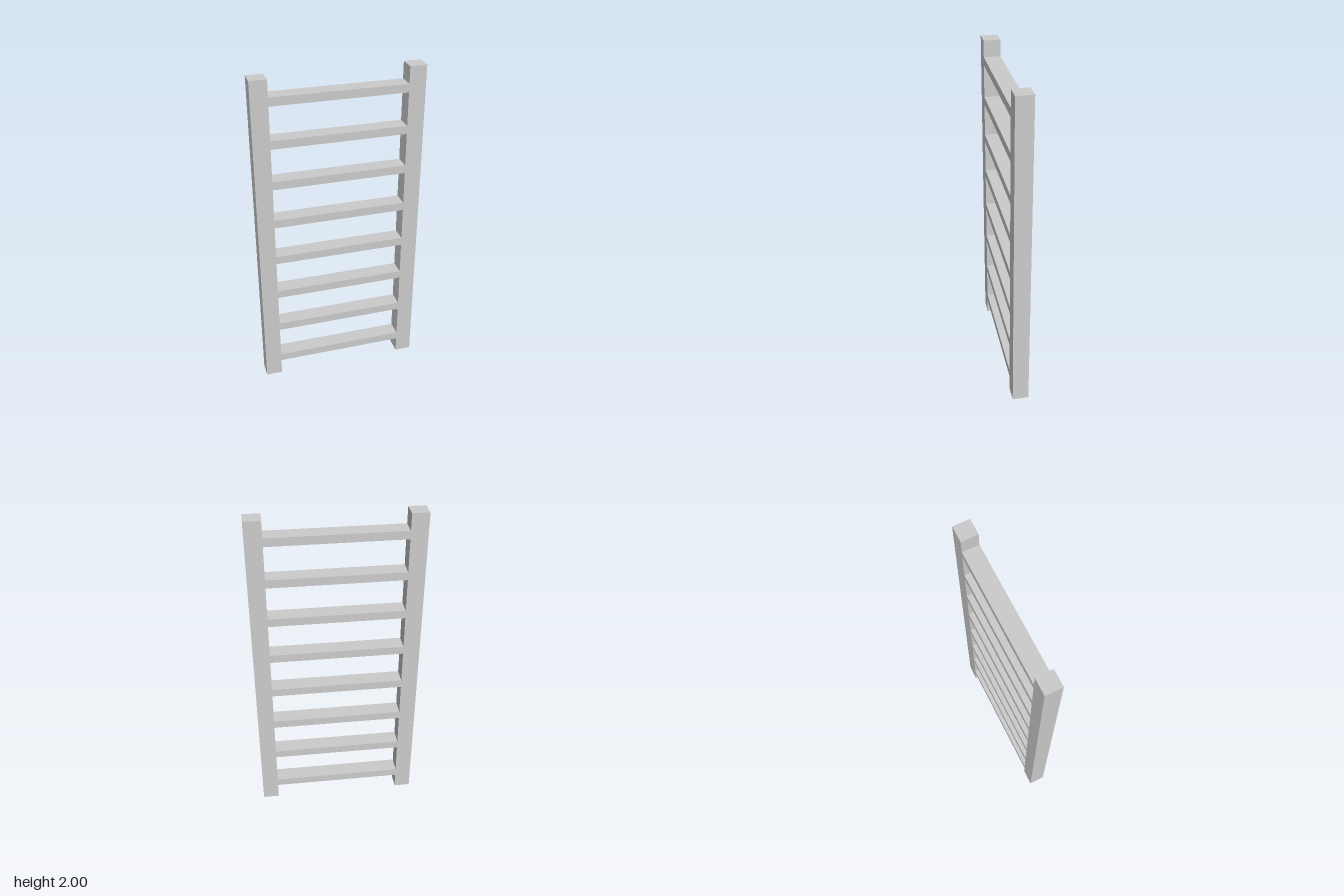
import * as THREE from 'three';

export function createModel() {
  const ladder = new THREE.Group();
  ladder.name = 'ladder';
  const material = new THREE.MeshStandardMaterial({ color: 0xcccccc, flatShading: true });

  const height = 2, rail = 0.1, innerWidth = 0.8;
  const rungCount = 8, rungHeight = 0.05, firstRung = 0.125, rungStep = 0.25;

  const addBox = (name, geometry, x, y) => {
    const mesh = new THREE.Mesh(geometry, material);
    mesh.name = name;
    mesh.position.set(x, y, 0);
    ladder.add(mesh);
  };

  // Two square upright rails
  const railGeometry = new THREE.BoxGeometry(rail, height, rail);
  const railX = (innerWidth + rail) / 2;
  addBox('leftRail', railGeometry, railX, height / 2);
  addBox('rightRail', railGeometry, -railX, height / 2);

  // Evenly spaced flat rungs, flush with the rails front and back
  const rungGeometry = new THREE.BoxGeometry(innerWidth, rungHeight, rail);
  for (let i = 0; i < rungCount; i++) {
    addBox(`rung${i + 1}`, rungGeometry, 0, firstRung + i * rungStep);
  }

  return ladder;
}
